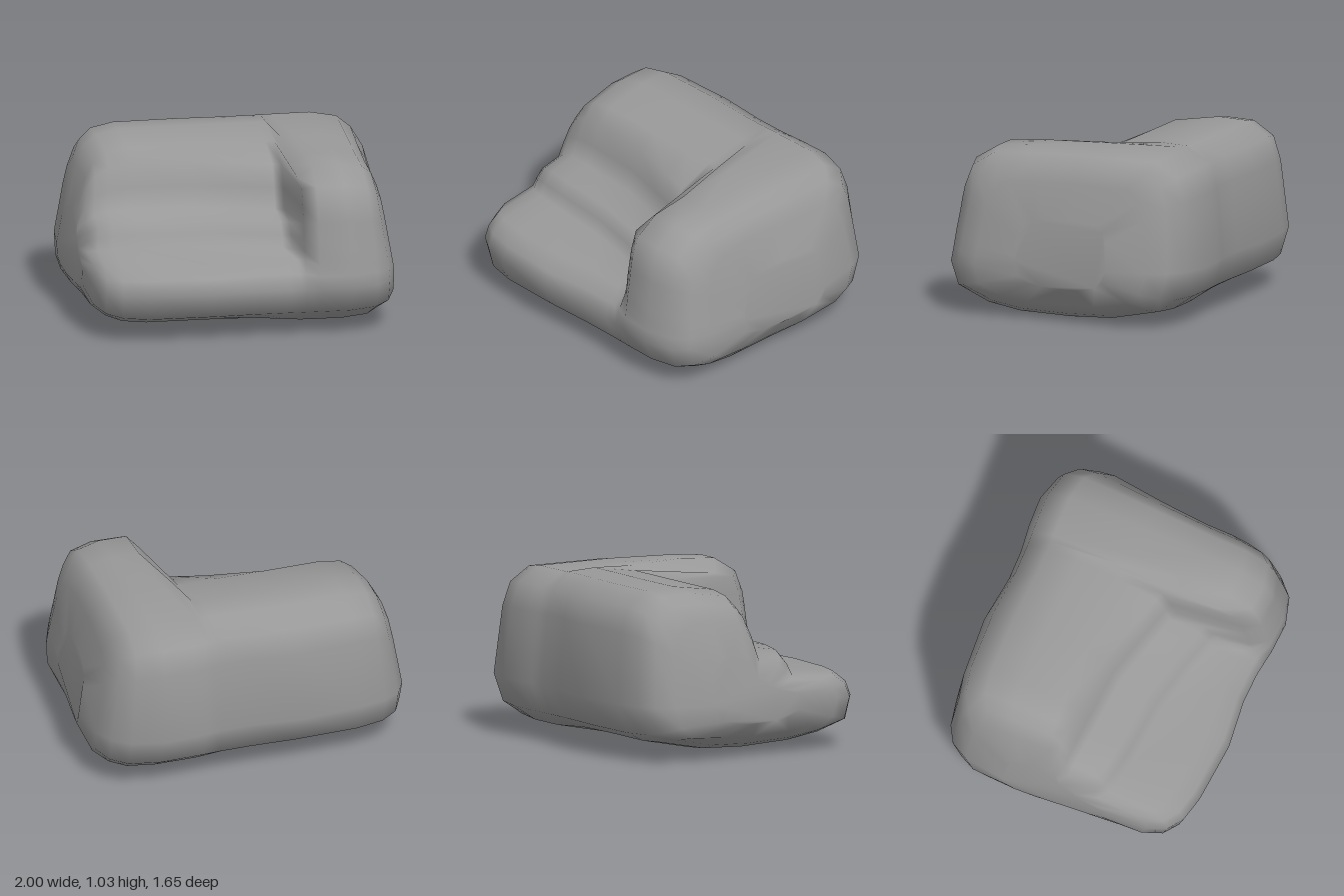
import * as THREE from 'three';

// Cross-sections as [z, y], from the front foot up, over the top and down the back.
const BACK = [[-0.6, 1.02], [-0.74, 0.93], [-0.79, 0.78], [-0.83, 0.35], [-0.76, 0.17],
  [-0.63, 0.08], [-0.3, 0.015], [0, 0]];
const STEPPED = [[0.35, 0.015], [0.57, 0.05], [0.77, 0.15], [0.82, 0.3], [0.785, 0.39], [0.69, 0.46],
  [0.38, 0.485], [0.345, 0.56], [0.29, 0.625], [0.1, 0.655], [0.06, 0.78], [0, 0.91],
  [-0.11, 0.99], [-0.4, 1.03], ...BACK];
const EDGE = [[0.35, 0.01], [0.57, 0.05], [0.77, 0.15], [0.82, 0.3], [0.785, 0.39], [0.74, 0.465],
  [0.72, 0.52], [0.71, 0.6], [0.695, 0.68], [0.675, 0.78], [0.635, 0.89], [0.5, 0.92],
  [0.22, 0.93], [-0.1, 1.015], ...BACK];
const FULL = [[0.35, 0.01], [0.57, 0.05], [0.77, 0.15], [0.82, 0.3], [0.805, 0.38], [0.795, 0.45],
  [0.785, 0.52], [0.77, 0.6], [0.755, 0.7], [0.74, 0.78], [0.69, 0.91], [0.54, 1.0],
  [0.3, 1.015], [-0.1, 1.025], ...BACK];

// Stations along x: [position, shrink towards the end, section]
const STATIONS = [[-1, 0.6, STEPPED], [-0.97, 0.27, STEPPED], [-0.91, 0.12, STEPPED],
  [-0.81, 0.035, STEPPED], [-0.64, 0, STEPPED], [-0.25, 0, STEPPED], [0.05, 0, STEPPED],
  [0.24, 0, STEPPED], [0.295, 0, STEPPED], [0.335, 0, EDGE], [0.42, 0, FULL], [0.62, 0, FULL],
  [0.81, 0.035, FULL], [0.91, 0.12, FULL], [0.97, 0.27, FULL], [1, 0.6, FULL]];

const { lerp, clamp } = THREE.MathUtils;
const ramp = (v, a, b) => clamp((v - a) / (b - a), 0, 1);

function sectionPoint([u, shrink, section], j) {
  let [z, y] = section[j];
  // The steps swing forward as they near the tall block
  if (section === STEPPED && j >= 6 && j <= 11) {
    z += 0.15 * ramp(u, -0.25, 0.3) - 0.03 * ramp(-u, 0.25, 0.8);
  }
  z = lerp(z, -0.03, shrink);
  y = lerp(y, 0.35, shrink);
  // Gentle waves along the middle of the front and back
  const wave = 0.024 * ramp(y, 0.1, 0.3) * (1 - 0.6 * ramp(y, 0.8, 1));
  z *= 0.98 + wave * Math.cos(7 * (u - 0.57));
  // The underside is a little higher on the stepped side
  if (y < 0.15) y += 0.03 * (1 - ramp(u, 0, 0.35));
  // The ends lean in at the top, at the foot and towards the front
  const lean = 0.105 * ramp(y, 0.35, 0.95) + 0.06 * ramp(-y, -0.18, -0.08)
    + (0.055 + 0.015 * u) * ramp(z, -0.32, 0.05);
  return [u * (1 - lean * u * u), y, z];
}

function buildRock() {
  const n = STEPPED.length, last = STATIONS.length - 1;
  const positions = [], index = [];
  for (const s of STATIONS) for (let j = 0; j < n; j++) positions.push(...sectionPoint(s, j));
  // Skin between neighbouring sections
  for (let i = 0; i < last; i++) {
    for (let j = 0; j < n; j++) {
      const k = (j + 1) % n;
      const a = i * n + j, b = i * n + k, c = a + n, d = b + n;
      index.push(a, c, b, b, c, d);
    }
  }
  // End caps, the far one turned to face +x
  for (const i of [0, last]) {
    const outline = STEPPED.map((_, j) => {
      const [, y, z] = sectionPoint(STATIONS[i], j);
      return new THREE.Vector2(z, y);
    });
    for (const [a, b, c] of THREE.ShapeUtils.triangulateShape(outline, [])) {
      const ab = outline[b].clone().sub(outline[a]), ac = outline[c].clone().sub(outline[a]);
      const o = i * n;
      if ((ab.cross(ac) > 0) === (i === 0)) index.push(o + a, o + b, o + c);
      else index.push(o + a, o + c, o + b);
    }
  }
  const geometry = new THREE.BufferGeometry();
  geometry.setAttribute('position', new THREE.Float32BufferAttribute(positions, 3));
  geometry.setIndex(index);
  geometry.computeVertexNormals();
  return geometry;
}

export function createModel() {
  const group = new THREE.Group();
  group.name = 'steppedRock';
  const stone = new THREE.MeshStandardMaterial({ color: 0x999999 });
  stone.name = 'stone grey';
  const rock = new THREE.Mesh(buildRock(), stone);
  rock.name = 'rockBody';
  group.add(rock);
  return group;
}
